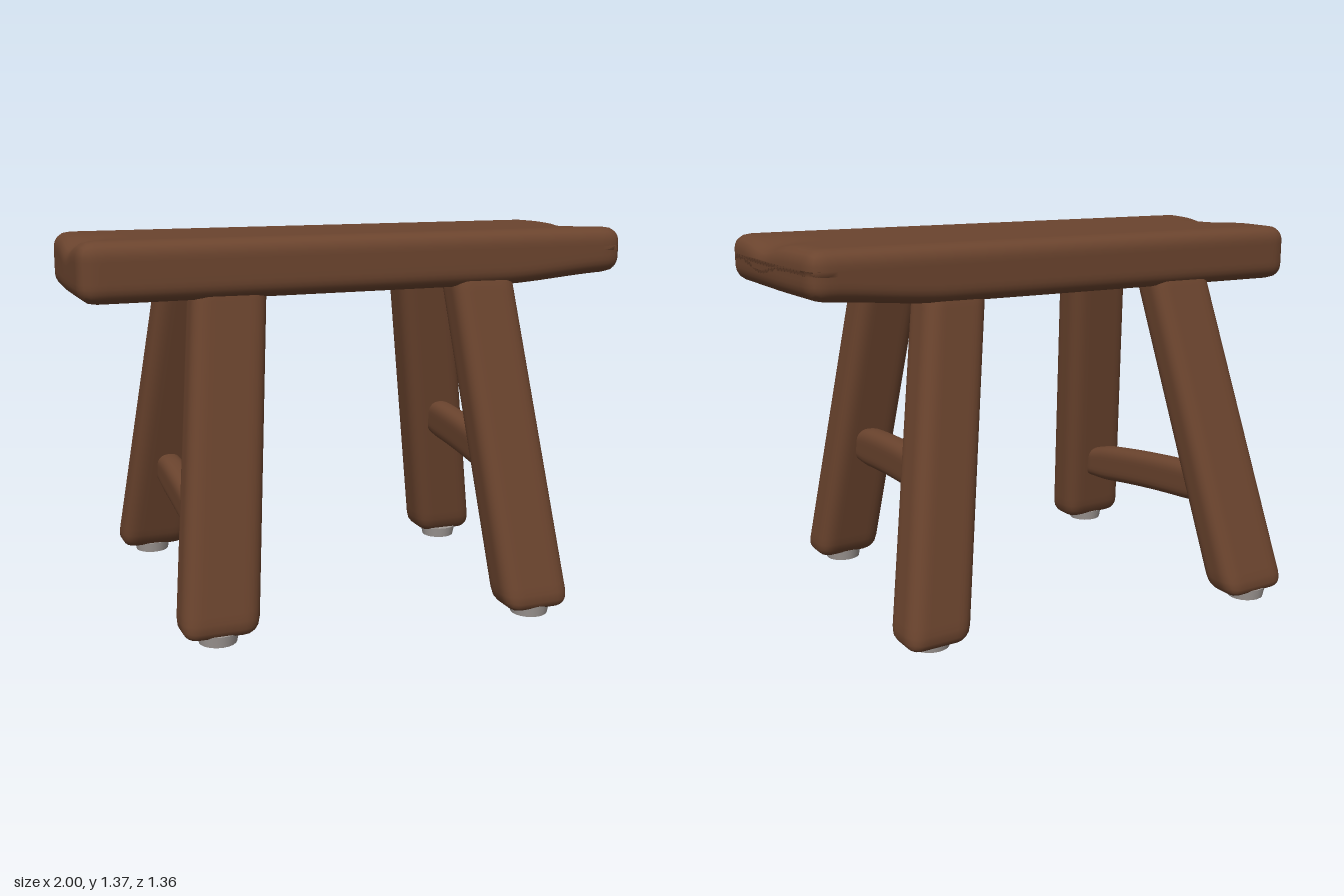
import * as THREE from 'three';
import { mergeVertices } from 'three/addons/utils/BufferGeometryUtils.js';

const wood = new THREE.MeshStandardMaterial({ color: 0x6b442e });
wood.name = 'brown wood';
const metal = new THREE.MeshStandardMaterial({ color: 0xa39c98 });
metal.name = 'grey glide';

// Softly rounded, evenly subdivided block, bent by a warp rule
function softBlock(size, r, segs, warp) {
  let geo = new THREE.BoxGeometry(...size, ...segs);
  geo.deleteAttribute('normal');
  geo.deleteAttribute('uv');
  geo = mergeVertices(geo);
  const pos = geo.attributes.position;
  const p = new THREE.Vector3();
  const inner = new THREE.Vector3();
  const lim = new THREE.Vector3(...size).multiplyScalar(0.5).subScalar(r);
  for (let i = 0; i < pos.count; i++) {
    p.fromBufferAttribute(pos, i);
    inner.copy(p).clamp(lim.clone().negate(), lim);
    p.sub(inner).setLength(r).add(inner);
    warp(p);
    pos.setXYZ(i, p.x, p.y, p.z);
  }
  geo.computeVertexNormals();
  return geo;
}

function addMesh(group, name, geo, mat) {
  const mesh = new THREE.Mesh(geo, mat);
  mesh.name = name;
  group.add(mesh);
  return mesh;
}

const smooth = THREE.MathUtils.smoothstep;
const lerp = THREE.MathUtils.lerp;

// Plank: slightly askew, one end lifted, worn hollows at both ends
function seatGeometry() {
  return softBlock([2, 0.2, 0.72], 0.055, [64, 12, 28], (p) => {
    const { x, y, z } = p;
    const top = y > 0 ? 1 : 0;
    const end = smooth(Math.abs(x), 0.8, 1);
    const hollow = Math.exp(-(((z - 0.06) / 0.12) ** 2));
    const lift = top ? 0.008 * x : 0.012 * x + 0.03 * smooth(x, 0.5, 1);
    p.y = 1.262 + y + lift - top * 0.03 * end * hollow;
    p.z = z + 0.042 + 0.013 * x * (z > 0 ? 1 : 0.7);
    p.x = x * (1 - 0.012 * smooth(-z, 0, 0.36));
  });
}

// Splayed leg, sheared from its foot centre to its top centre
function legGeometry({ foot, top, size }) {
  const y0 = 0.025, y1 = 1.24;
  return softBlock([size[0], y1 - y0, size[1]], 0.055, [14, 40, 12], (p) => {
    const t = p.y / (y1 - y0) + 0.5;
    const girth = lerp(1.02, 0.96, t);
    p.x = p.x * girth + lerp(foot[0], top[0], t);
    p.z = p.z * girth + lerp(foot[1], top[1], t);
    p.y = lerp(y0, y1, t);
  });
}

// Cross rail between a front and a back leg
function railGeometry(a, b) {
  const len = a[2] - b[2];
  return softBlock([0.095, 0.15, len], 0.042, [8, 10, 24], (p) => {
    const t = 0.5 - p.z / len;
    p.y *= 1 - 0.2 * smooth(Math.abs(t - 0.5), 0.3, 0.5);
    p.x += lerp(a[0], b[0], t);
    p.y += lerp(a[1], b[1], t) + 0.012 * Math.sin(Math.PI * t);
    p.z = lerp(a[2], b[2], t);
  });
}

export function createModel() {
  const model = new THREE.Group();
  model.name = 'woodenBench';

  addMesh(model, 'seat', seatGeometry(), wood);

  // Legs as [x, z] at foot and top, with a glide under each foot
  const legs = {
    frontLeftLeg: { foot: [0.545, 0.605], top: [0.44, 0.3], size: [0.25, 0.175], pad: [0.54, 0.6] },
    backLeftLeg: { foot: [0.645, -0.39], top: [0.44, -0.185], size: [0.24, 0.185], pad: [0.63, -0.36] },
    frontRightLeg: { foot: [-0.595, 0.475], top: [-0.485, 0.28], size: [0.27, 0.165], pad: [-0.595, 0.475] },
    backRightLeg: { foot: [-0.595, -0.605], top: [-0.485, -0.21], size: [0.27, 0.165], pad: [-0.595, -0.6] },
  };
  for (const [name, leg] of Object.entries(legs)) {
    addMesh(model, name, legGeometry(leg), wood);
    const glide = addMesh(model, name + 'Glide', new THREE.CylinderGeometry(0.074, 0.066, 0.04, 20), metal);
    glide.position.set(leg.pad[0], 0.02, leg.pad[1]);
  }

  // Cross rails, the left one higher than the right one
  addMesh(model, 'leftRail', railGeometry([0.5, 0.51, 0.46], [0.56, 0.56, -0.3]), wood);
  addMesh(model, 'rightRail', railGeometry([-0.57, 0.285, 0.4], [-0.555, 0.395, -0.46]), wood);

  return model;
}
